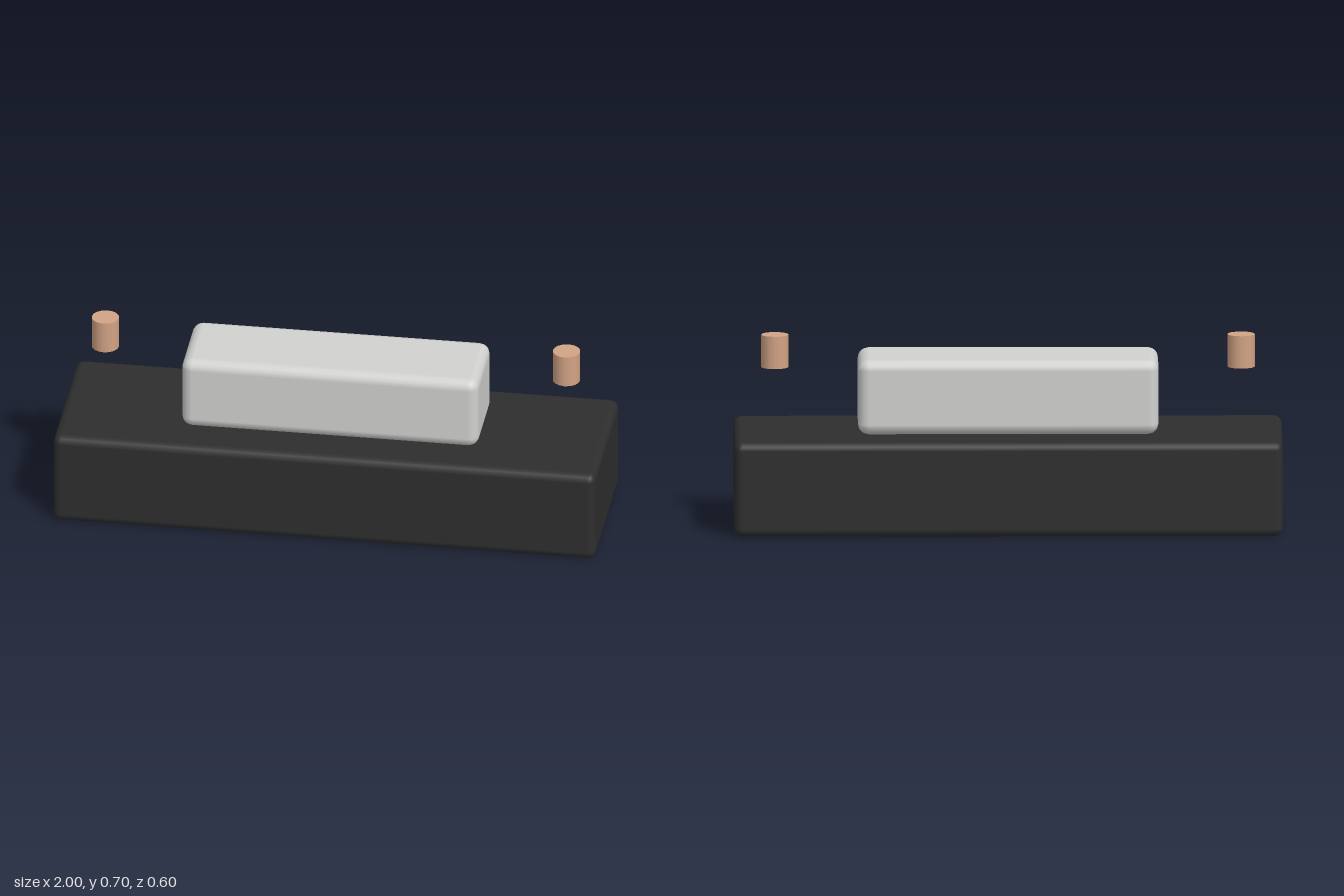
import * as THREE from 'three';
import { RoundedBoxGeometry } from 'three/addons/geometries/RoundedBoxGeometry.js';

export function createModel() {
  const model = new THREE.Group();
  const paint = (name, color) => {
    const m = new THREE.MeshStandardMaterial({ color });
    m.name = name;
    return m;
  };
  const charcoal = paint('charcoal', 0x2e2e2e);
  const silver = paint('silver', 0xd1d1cf);
  const copper = paint('copper', 0xd1a384);

  const add = (name, geometry, material, x, y, z) => {
    const mesh = new THREE.Mesh(geometry, material);
    mesh.name = name;
    mesh.position.set(x, y, z);
    model.add(mesh);
  };

  // Long softened base block
  add('base', new RoundedBoxGeometry(2, 0.35, 0.6, 2, 0.03), charcoal, 0, 0.175, 0);

  // Rounded block resting on the base
  add('topBlock', new RoundedBoxGeometry(1.096, 0.278, 0.328, 2, 0.04), silver, 0, 0.491, 0);

  // Pair of floating pins, one above each end
  const pin = new THREE.CylinderGeometry(0.05, 0.05, 0.12, 16);
  for (const side of [1, -1]) {
    add(side > 0 ? 'leftPin' : 'rightPin', pin, copper, side * 0.85, 0.64, 0);
  }
  return model;
}
